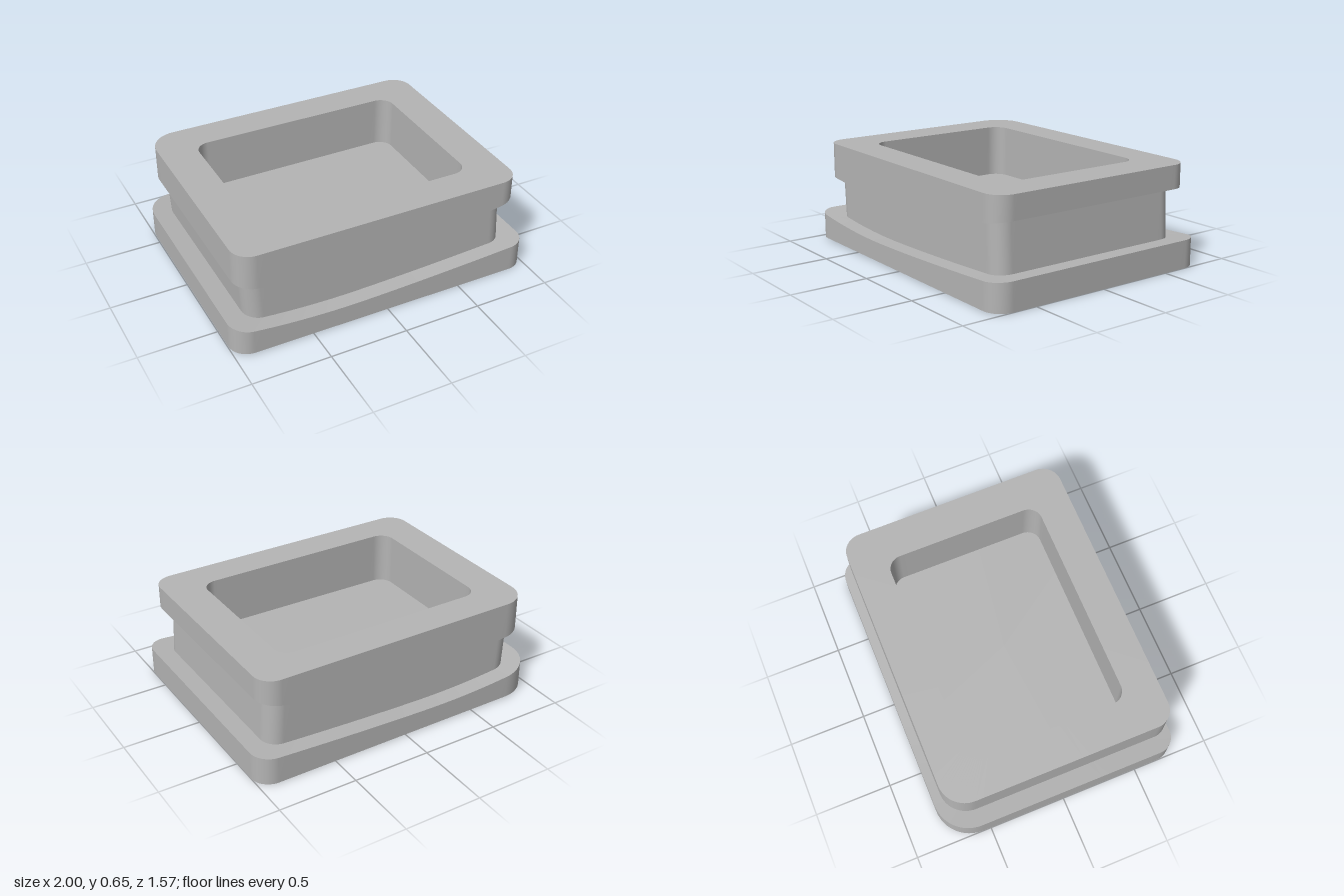
import * as THREE from 'three';

const CORNER = 12, SIDE = 24;

// Rounded rectangle as a closed loop of [x, z]; radii run back right, back left, front left, front right.
function outline(x0, x1, z0, z1, radii) {
  const corners = [[x1, z0, -1, 1], [x0, z0, 1, 1], [x0, z1, 1, -1], [x1, z1, -1, -1]];
  const arcs = corners.map(([x, z, sx, sz], k) => {
    const r = radii[k], arc = [];
    for (let i = 0; i <= CORNER; i++) {
      const a = (k + i / CORNER) * Math.PI / 2;
      arc.push([x + sx * r + r * Math.cos(a), z + sz * r - r * Math.sin(a)]);
    }
    return arc;
  });
  const loop = [];
  arcs.forEach((arc, k) => {
    loop.push(...arc);
    const p = arc[CORNER], q = arcs[(k + 1) % 4][0];
    for (let i = 1; i < SIDE; i++) {
      const t = i / SIDE;
      loop.push([p[0] + (q[0] - p[0]) * t, p[1] + (q[1] - p[1]) * t]);
    }
  });
  return loop;
}

// Lift a loop to a height that varies with x.
const lift = (loop, height) => loop.map(([x, z]) => [x, height(x), z]);
// Collapse a loop to its middle, to close a cap.
const middle = (loop, height) => loop.map(() => [0, height(0), 0]);

// Surface between two matching loops.
function strip(a, b) {
  const n = a.length, index = [];
  for (let i = 0; i < n; i++) {
    const j = (i + 1) % n;
    index.push(i, j, n + j, i, n + j, n + i);
  }
  const geometry = new THREE.BufferGeometry();
  geometry.setAttribute('position', new THREE.Float32BufferAttribute([...a, ...b].flat(), 3));
  geometry.setIndex(index);
  geometry.computeVertexNormals();
  return geometry;
}

export function createModel() {
  const group = new THREE.Group();
  const grey = new THREE.MeshStandardMaterial({ color: 0xb4b4b4 });
  grey.name = 'grey';

  // Heights across the width: gentle tilt outside, sagging curves at the groove
  const bottom = x => 0.005 - 0.005 * x;
  const top = x => 0.65 - 0.005 * x;
  const floor = () => 0.315;
  const baseTop = x => x < -0.25
    ? 0.13 + 0.055 * ((x + 0.25) / 0.75) ** 2
    : 0.13 + 0.05 * ((x + 0.25) / 1.25) ** 1.5;
  const lidBottom = x => x < -0.15
    ? 0.393 + 0.042 * ((x + 0.15) / 0.79) ** 2
    : 0.393 + 0.102 * ((x + 0.15) / 1.09) ** 1.8;

  const baseLoop = outline(-1, 1, -0.785, 0.78, [0.12, 0.23, 0.12, 0.12]);
  const neckLoop = outline(-0.875, 0.882, -0.672, 0.675, [0.1, 0.12, 0.1, 0.1]);
  const neckTopLoop = outline(-0.89, 0.865, -0.672, 0.675, [0.1, 0.12, 0.1, 0.1]);
  const lidLoop = outline(-0.94, 0.935, -0.735, 0.727, [0.12, 0.17, 0.12, 0.12]);
  const wellLoop = outline(-0.705, 0.695, -0.515, 0.508, [0.09, 0.09, 0.09, 0.09]);

  // Successive loops from underside to floor of the well
  const loops = [
    middle(baseLoop, bottom),
    lift(baseLoop, bottom),
    lift(baseLoop, baseTop),
    lift(neckLoop, baseTop),
    lift(neckTopLoop, lidBottom),
    lift(lidLoop, lidBottom),
    lift(lidLoop, top),
    lift(wellLoop, top),
    lift(wellLoop, floor),
    middle(wellLoop, floor),
  ];
  const names = ['baseUnderside', 'baseSide', 'baseLedge', 'neck', 'rimUnderside',
    'rimSide', 'rimTop', 'wellWall', 'wellFloor'];
  names.forEach((name, i) => {
    const mesh = new THREE.Mesh(strip(loops[i], loops[i + 1]), grey);
    mesh.name = name;
    group.add(mesh);
  });
  return group;
}
